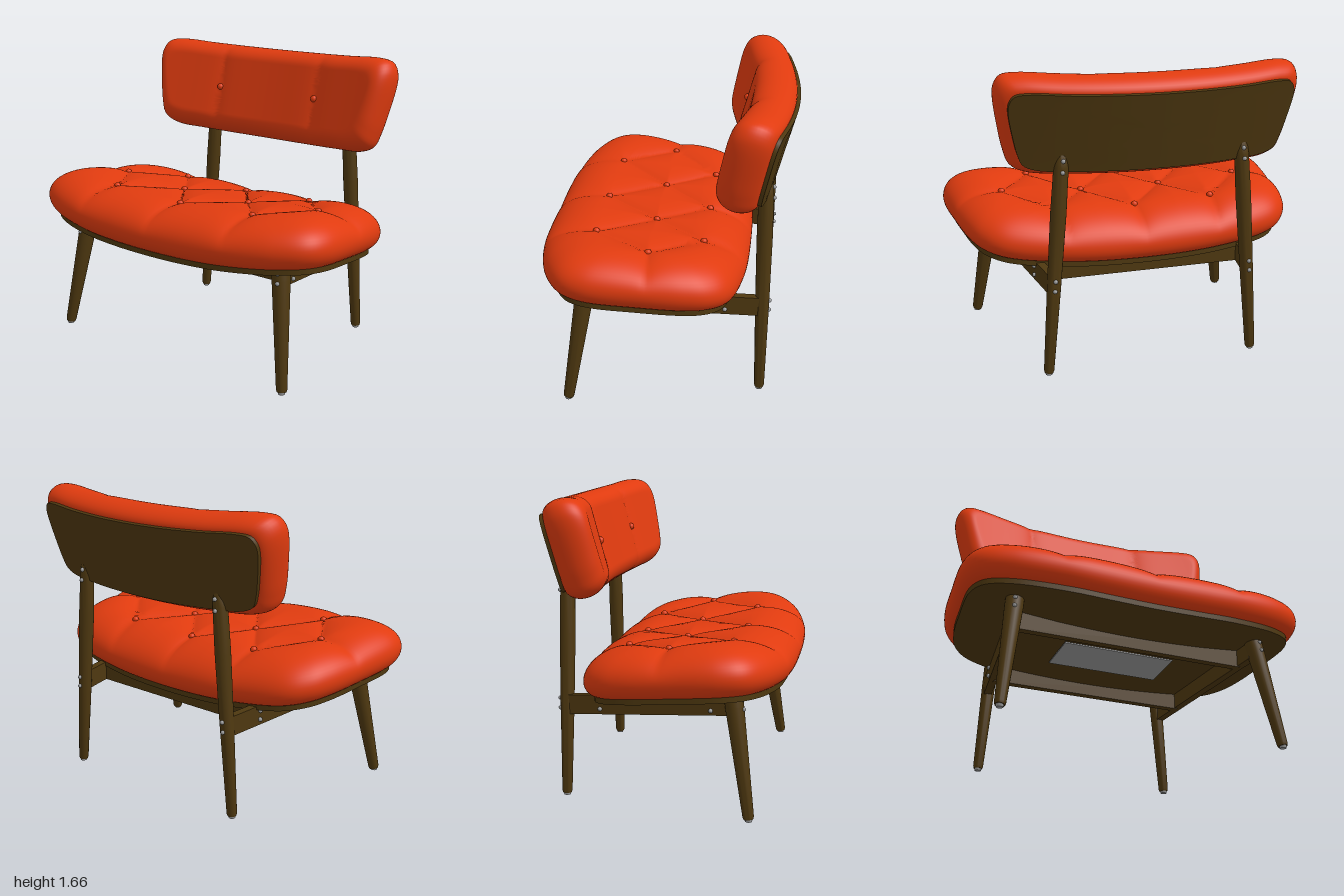
import * as THREE from 'three';
import { toCreasedNormals } from 'three/addons/utils/BufferGeometryUtils.js';

const material = (name, color) => Object.assign(new THREE.MeshStandardMaterial({ color }), { name });
const V = (x, y, z) => new THREE.Vector3(x, y, z);

// Closed, mirrored outline in the x/z plane from half of its points
function outline(half, count) {
  const mirrored = half.slice(1, -1).reverse().map(([x, z]) => [-x, z]);
  const curve = new THREE.CatmullRomCurve3([...half, ...mirrored].map(([x, z]) => V(x, 0, z)), true);
  return curve.getSpacedPoints(count).slice(0, count);
}

// Skin through rings {inset, k, h}: the outline is inset, scaled by k and lifted by h over a bent middle surface
function skin(form, rings) {
  const { points, zc, ax, az, mid, dent, top } = form;
  const n = points.length, pos = [], index = [];
  rings.forEach(({ inset, k, h }, i) => {
    points.forEach((p, j) => {
      const x = p.x * (1 - inset / ax) * k;
      const z = zc + (p.z - zc) * (1 - inset / az) * k;
      pos.push(x, mid(x, z) + h - dent(x, z) * Math.max(h, 0) / top, z);
      if (i + 1 < rings.length) {
        const a = i * n + j, b = i * n + (j + 1) % n;
        index.push(a, b, b + n, a, b + n, a + n);
      }
    });
  });
  const geo = new THREE.BufferGeometry();
  geo.setAttribute('position', new THREE.Float32BufferAttribute(pos, 3));
  geo.setIndex(index);
  geo.computeVertexNormals();
  return geo;
}

// Padded body: flat underside, rounded rim, wide rounded shoulder, tufted top
function cushion(form, inner) {
  const { top, bottom, roundTop, roundBottom } = form, rings = [];
  for (const k of [0, 0.5]) rings.push({ inset: roundBottom, k, h: -bottom });
  for (let i = 0; i < 8; i++) {
    const a = (1 - i / 8) * Math.PI / 2;
    rings.push({ inset: roundBottom * (1 - Math.cos(a)), k: 1, h: -bottom * Math.sin(a) });
  }
  for (let i = 0; i <= 16; i++) {
    const a = i / 16 * Math.PI / 2;
    rings.push({ inset: roundTop * (1 - Math.cos(a)), k: 1, h: top * Math.sin(a) });
  }
  for (let i = 1; i <= inner; i++) rings.push({ inset: roundTop, k: 1 - i / inner, h: top });
  return skin(form, rings);
}

// Bent plywood panel under a cushion
function panel(form, inset, low, high) {
  const rings = [0, 0.25, 0.5, 0.75, 1].map(k => ({ inset, k, h: low }));
  rings.push({ inset, k: 1, h: high });
  return toCreasedNormals(skin(form, rings), 0.7);
}

// Soft crease: deepest on the nearest seam segment
function crease(seams, depth, width) {
  return (x, z) => {
    let best = Infinity;
    for (const [ax, az, bx, bz] of seams) {
      const dx = bx - ax, dz = bz - az;
      const t = THREE.MathUtils.clamp(((x - ax) * dx + (z - az) * dz) / (dx * dx + dz * dz), 0, 1);
      best = Math.min(best, Math.hypot(x - ax - dx * t, z - az - dz * t));
    }
    return depth * Math.exp(-best / width);
  };
}

export function createModel() {
  const model = new THREE.Group();
  model.name = 'loungeChair';
  const fabric = material('orangeFabric', 0xe03b0f);
  const wood = material('darkWood', 0x4e3810);
  const metal = material('greyMetal', 0x9a9a9a);

  function add(name, geometry, mat, parent = model) {
    const mesh = new THREE.Mesh(geometry, mat);
    mesh.name = name;
    parent.add(mesh);
    return mesh;
  }
  function ball(name, r, p, mat, parent) {
    add(name, new THREE.SphereGeometry(r, 14, 10), mat, parent).position.copy(p);
  }
  // Turned leg between two points, profile as [radius, fraction of length]
  function leg(name, from, to, profile) {
    const dir = to.clone().sub(from), len = dir.length();
    const pts = profile.map(([r, t]) => new THREE.Vector2(r, t * len));
    const mesh = add(name, toCreasedNormals(new THREE.LatheGeometry(pts, 24), 0.8), wood);
    mesh.position.copy(from);
    mesh.quaternion.setFromUnitVectors(V(0, 1, 0), dir.normalize());
  }
  function beam(name, from, to, height, thick) {
    const mesh = add(name, new THREE.BoxGeometry(thick, height, from.distanceTo(to)), wood);
    mesh.position.copy(from).lerp(to, 0.5);
    mesh.lookAt(to);
  }

  // Seat seams: diamonds plus runs out to the edges
  const seams = [[0, 0.38, 0, 0.72], [0, -0.215, 0, -0.5]];
  for (const s of [-1, 1]) {
    seams.push([0, -0.215, s * 0.24, 0.07], [s * 0.24, 0.07, 0, 0.38], [s * 0.24, 0.07, s * 0.46, -0.215],
      [s * 0.24, 0.07, s * 0.5, 0.37], [s * 0.46, -0.215, s * 0.71, 0.06], [s * 0.71, 0.06, s * 0.5, 0.37],
      [s * 0.5, 0.37, s * 0.52, 0.72], [s * 0.71, 0.06, s * 1.02, 0.04], [s * 0.46, -0.215, s * 0.43, -0.5]);
  }
  const seat = {
    points: outline([[0, 0.685], [0.28, 0.682], [0.52, 0.665], [0.8, 0.595], [0.95, 0.5], [1.0, 0.38],
      [0.985, 0.1], [0.95, -0.15], [0.9, -0.28], [0.8, -0.375], [0.5, -0.44], [0, -0.46]], 260),
    zc: 0.11, ax: 1, az: 0.57, top: 0.19, bottom: 0.09, roundTop: 0.3, roundBottom: 0.08,
    mid: (x, z) => 0.72 + 0.085 * (z - 0.4) + 0.075 * x * x,
    dent: crease(seams, 0.037, 0.075),
  };
  add('seatCushion', cushion(seat, 44), fabric);
  add('seatPanel', panel(seat, 0.055, -0.115, -0.08), wood);
  const buttons = [[0, -0.215], [0, 0.38]];
  for (const s of [-1, 1]) buttons.push([s * 0.46, -0.215], [s * 0.24, 0.07], [s * 0.71, 0.06], [s * 0.5, 0.37]);
  for (const [x, z] of buttons) {
    ball('seatButton', 0.019, V(x, seat.mid(x, z) + seat.top - seat.dent(x, z) + 0.002, z), fabric);
  }

  // Backrest, shaped lying flat and then tipped up with a slight lean
  const backrest = new THREE.Group();
  backrest.name = 'backrest';
  backrest.position.set(0, 1.37, -0.535);
  backrest.rotation.x = Math.PI / 2 - 0.265;
  model.add(backrest);
  const back = {
    points: outline([[0, 0.275], [0.5, 0.274], [0.68, 0.268], [0.755, 0.235], [0.785, 0.16], [0.81, 0.05],
      [0.84, -0.14], [0.835, -0.2], [0.805, -0.25], [0.73, -0.268], [0.5, -0.268], [0, -0.268]], 200),
    zc: 0, ax: 0.84, az: 0.275, top: 0.135, bottom: 0.1, roundTop: 0.1, roundBottom: 0.06,
    mid: x => 0.16 * x * x,
    dent: crease([[-0.35, -0.3, -0.35, 0.3], [0.35, -0.3, 0.35, 0.3]], 0.02, 0.06),
  };
  add('backCushion', cushion(back, 34), fabric, backrest);
  add('backPanel', panel(back, 0.055, -0.12, -0.09), wood, backrest);

  // Underside webbing plate between the cross rails
  const plate = add('undersidePlate', new THREE.BoxGeometry(0.66, 0.008, 0.26), metal);
  plate.position.set(0, seat.mid(0, 0.01) - 0.121, 0.01);
  plate.rotation.x = -0.085;

  for (const s of [-1, 1]) {
    ball('backButton', 0.02, V(s * 0.35, back.mid(0.35) + back.top - 0.018, 0.01), fabric, backrest);

    // Legs with glides
    leg('frontLeg', V(s * 0.803, 0.012, 0.5), V(s * 0.715, 0.655, 0.4),
      [[0, 0], [0.026, 0], [0.03, 0.02], [0.05, 0.9], [0.05, 1], [0, 1]]);
    leg('rearLeg', V(s * 0.594, 0.012, -0.546), V(s * 0.5, 1.26, -0.545),
      [[0, 0], [0.024, 0], [0.028, 0.01], [0.038, 0.4], [0.043, 0.72], [0.04, 0.92], [0.033, 0.985], [0.02, 1], [0, 1]]);
    for (const [x, z] of [[0.803, 0.5], [0.594, -0.546]]) {
      add('footGlide', new THREE.CylinderGeometry(0.022, 0.018, 0.02, 16), metal).position.set(s * x, 0.01, z);
    }

    // Side rail and its screws
    beam('sideRail', V(s * 0.7, 0.597, 0.4), V(s * 0.565, 0.517, -0.53), 0.108, 0.045);
    const screws = [[0.71, 0.61, 0.28], [0.71, 0.56, 0.28], [0.618, 0.56, -0.345], [0.618, 0.51, -0.345],
      [0.73, 0.635, 0.45], [0.735, 0.585, 0.458], [0.556, 0.545, -0.585], [0.56, 0.49, -0.584],
      [0.504, 1.2, -0.584], [0.509, 1.14, -0.587]];
    for (const [x, y, z] of screws) ball('screw', 0.012, V(s * x, y, z), metal);
  }

  // Cross rails
  beam('frontCrossRail', V(-0.68, 0.585, 0.28), V(0.68, 0.585, 0.28), 0.108, 0.045);
  beam('rearCrossRail', V(-0.59, 0.53, -0.345), V(0.59, 0.53, -0.345), 0.108, 0.045);

  return model;
}
